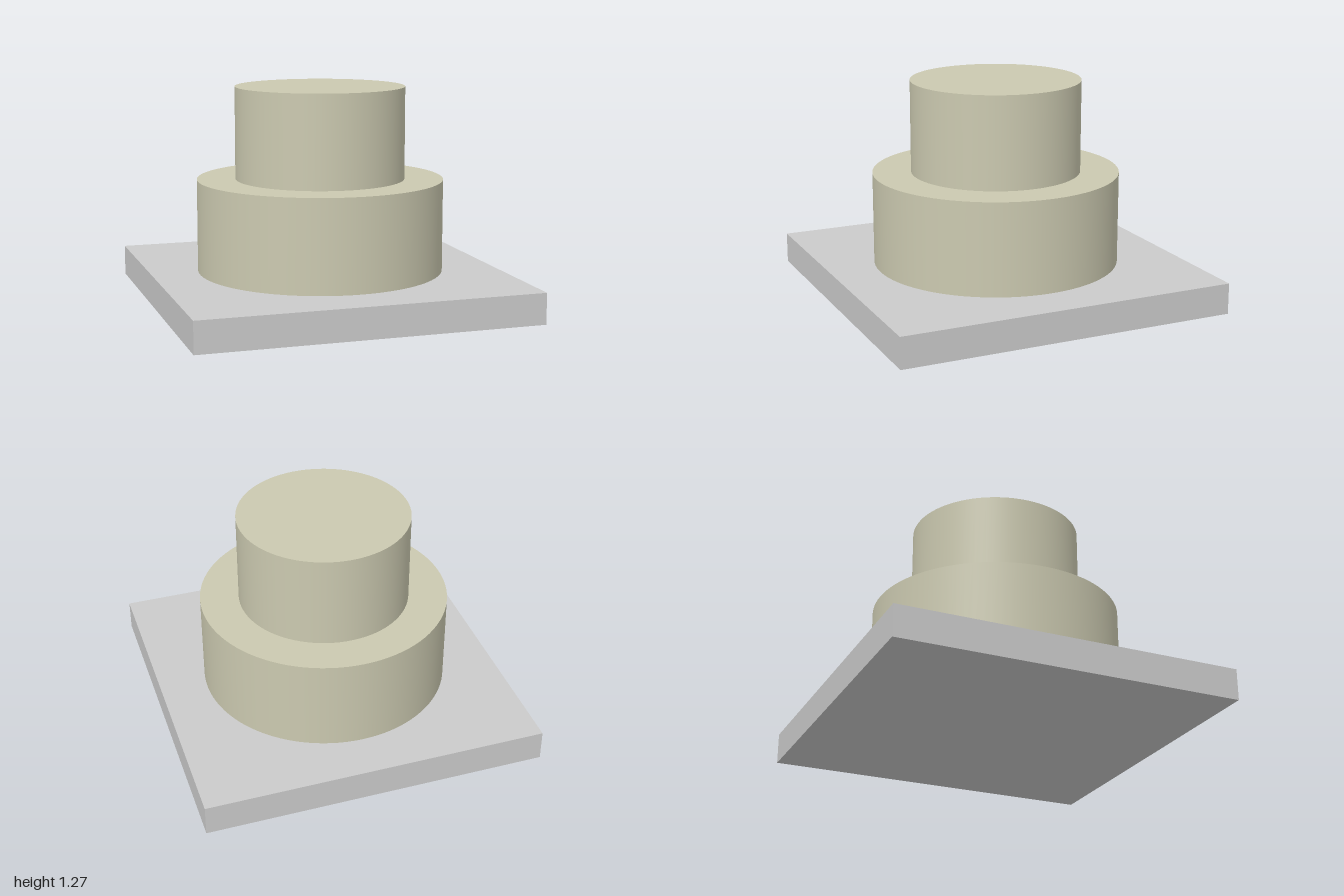
import * as THREE from 'three';

export function createModel() {
  const group = new THREE.Group();
  const grey = new THREE.MeshStandardMaterial({ color: 0xcccccc });
  const cream = new THREE.MeshStandardMaterial({ color: 0xcbc9b0 });

  const add = (name, geometry, material, x, y, z) => {
    const mesh = new THREE.Mesh(geometry, material);
    mesh.name = name;
    mesh.position.set(x, y, z);
    group.add(mesh);
    return mesh;
  };

  // Square board
  const boardHeight = 0.182;
  add('board', new THREE.BoxGeometry(2, boardHeight, 2), grey, 0, boardHeight / 2, 0);

  // Two round cake tiers, stacked
  const tierHeight = 0.545;
  [['lowerTier', 0.727], ['upperTier', 0.5]].forEach(([name, radius], i) => {
    const y = boardHeight + tierHeight * (i + 0.5);
    add(name, new THREE.CylinderGeometry(radius, radius, tierHeight, 96), cream, 0, y, 0);
  });

  // Blank label lying on the front right corner of the board
  const label = add('label', new THREE.PlaneGeometry(0.32, 0.16), grey, -0.72, boardHeight + 0.001, 0.8);
  label.rotation.x = -Math.PI / 2;

  return group;
}
